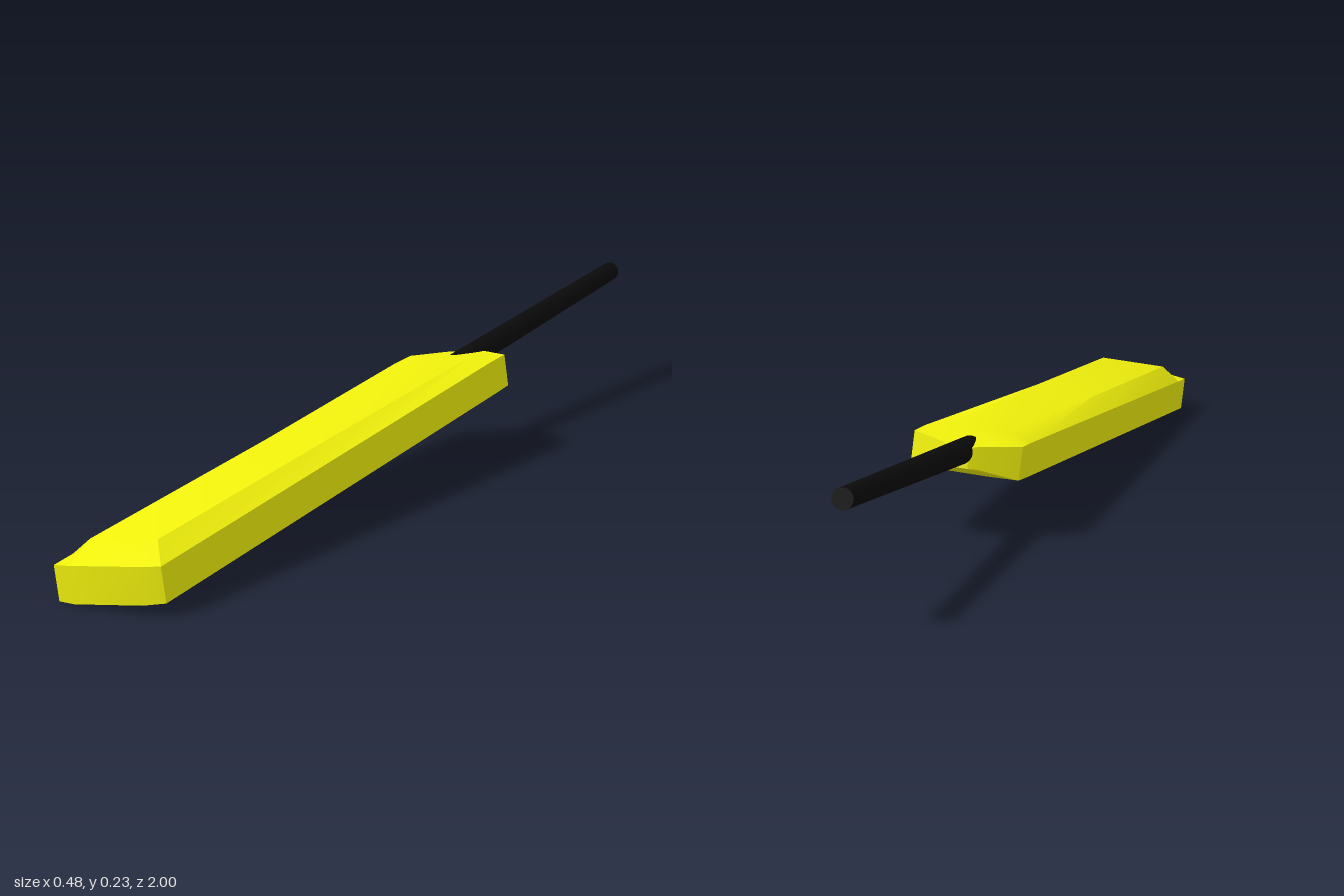
import * as THREE from 'three';
import { toCreasedNormals } from 'three/addons/utils/BufferGeometryUtils.js';

// Blade sections from toe to shoulder:
// [z, half width, inner half width, face y, edge y, raised back y, bow of the middle]
const SECTIONS = [
  [0, 0.0975, 0.062, 0, 0.06, 0.063, 0.013],
  [-0.06, 0.0975, 0.062, 0, 0.06, 0.085, 0],
  [-0.65, 0.0975, 0.06, 0, 0.06, 0.079, 0],
  [-1.225, 0.0975, 0.056, 0, 0.06, 0.07, 0],
  [-1.285, 0.0965, 0.04, 0, 0.058, 0.058, -0.01],
  [-1.33, 0.034, 0.018, 0.014, 0.054, 0.05, -0.008],
];

function bladeGeometry() {
  const positions = [], index = [], n = 8;
  for (const [z, w, v, face, edge, back, bow] of SECTIONS) {
    const m = z + bow;
    positions.push(
      -w, face, z, -v, face, m, v, face, m, w, face, z,
      w, edge, z, v, back, m, -v, back, m, -w, edge, z);
  }
  // skin between neighbouring sections
  for (let i = 0; i < SECTIONS.length - 1; i++) {
    for (let j = 0; j < n; j++) {
      const a = i * n + j, b = i * n + (j + 1) % n;
      index.push(a, b + n, b, a, a + n, b + n);
    }
  }
  // toe and shoulder caps
  const last = (SECTIONS.length - 1) * n;
  for (let k = 0; k < 3; k++) {
    const [a, b, c, d] = [k, k + 1, 6 - k, 7 - k];
    index.push(a, b, c, a, c, d);
    index.push(last + a, last + c, last + b, last + a, last + d, last + c);
  }
  const geometry = new THREE.BufferGeometry();
  geometry.setAttribute('position', new THREE.Float32BufferAttribute(positions, 3));
  geometry.setIndex(index);
  return toCreasedNormals(geometry, 0.4);
}

export function createModel() {
  const model = new THREE.Group();
  model.name = 'cricketBat';

  // flat-faced blade with a raised back
  const blade = new THREE.Mesh(
    bladeGeometry(),
    new THREE.MeshStandardMaterial({ color: 0xf0f00c }));
  blade.name = 'blade';

  // round tapered handle sunk into the shoulder
  const start = -1.275, end = -2.006;
  const handleGeometry = new THREE.CylinderGeometry(0.022, 0.018, start - end, 20);
  handleGeometry.rotateX(Math.PI / 2);
  const handle = new THREE.Mesh(
    handleGeometry,
    new THREE.MeshStandardMaterial({ color: 0x0a0a0a }));
  handle.name = 'handle';
  handle.position.set(-0.002, 0.041, (start + end) / 2);

  // the bat lies tilted, with the toe at the front and the handle raised
  const bat = new THREE.Group();
  bat.name = 'bat';
  bat.add(blade, handle);
  const zAxis = new THREE.Vector3(-0.181, -0.081, 0.98).normalize();
  const yAxis = zAxis.clone().cross(new THREE.Vector3(0.976, 0.103, 0.19)).normalize();
  const xAxis = yAxis.clone().cross(zAxis);
  bat.quaternion.setFromRotationMatrix(new THREE.Matrix4().makeBasis(xAxis, yAxis, zAxis));
  bat.position.set(-0.136, 0.0105, 0.966);
  model.add(bat);
  return model;
}
